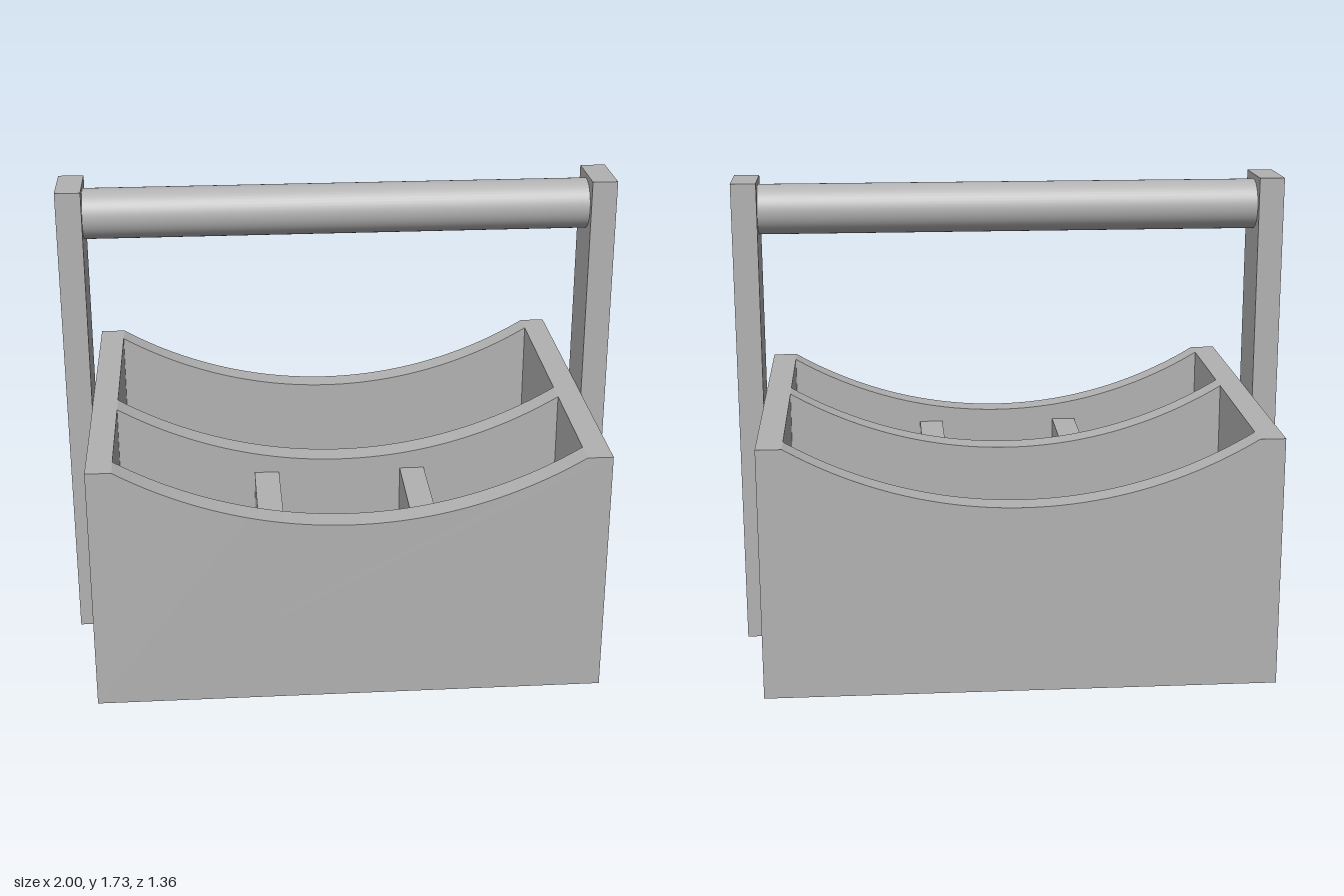
import * as THREE from 'three';

const U = 1 / 11; // board thickness, used as the module of the design

export function createModel() {
  const group = new THREE.Group();
  group.name = 'toolCaddy';
  const grey = new THREE.MeshStandardMaterial({ color: 0xb2b2b2 });
  grey.name = 'plain grey';

  const add = (name, geometry, x, y, z) => {
    const mesh = new THREE.Mesh(geometry, grey);
    mesh.name = name;
    mesh.position.set(x * U, y * U, z * U);
    group.add(mesh);
    return mesh;
  };
  // Box given by its minimum and maximum corners, in board units
  const board = (name, [x0, y0, z0], [x1, y1, z1]) =>
    add(name, new THREE.BoxGeometry((x1 - x0) * U, (y1 - y0) * U, (z1 - z0) * U),
      (x0 + x1) / 2, (y0 + y1) / 2, (z0 + z1) / 2);

  // Long board with a scooped top edge, one unit thick
  const scooped = (name, halfWidth, bottom, z) => {
    const chord = 9, top = 10, sag = 2.5;
    const radius = (chord * chord + sag * sag) / (2 * sag);
    const centreY = top - sag + radius;
    const start = Math.atan2(top - centreY, chord);
    const shape = new THREE.Shape();
    shape.moveTo(-halfWidth * U, bottom * U);
    shape.lineTo(halfWidth * U, bottom * U);
    shape.lineTo(halfWidth * U, top * U);
    if (halfWidth > chord) shape.lineTo(chord * U, top * U);
    shape.absarc(0, centreY * U, radius * U, start, -Math.PI - start, true);
    if (halfWidth > chord) shape.lineTo(-halfWidth * U, top * U);
    shape.closePath();
    const geometry = new THREE.ExtrudeGeometry(shape, { depth: U, bevelEnabled: false, curveSegments: 48 });
    add(name, geometry, 0, 0, z);
  };

  // Tray: floor, scooped long walls and lengthwise divider
  board('floor', [-9, 0, -6.5], [9, 1, 6.5]);
  scooped('frontWall', 10, 0, 6.5);
  scooped('backWall', 10, 0, -7.5);
  scooped('middleDivider', 9, 1, 0.5);

  // End walls, posts and small cross dividers, mirrored left and right
  for (const [side, s] of [['left', 1], ['right', -1]]) {
    const mirrored = (name, a, b, y0, y1, z0, z1) =>
      board(side + name, [Math.min(a * s, b * s), y0, z0], [Math.max(a * s, b * s), y1, z1]);
    mirrored('EndWall', 9, 10, 0, 10, -6.5, 6.5);
    mirrored('Post', 10, 11, 0, 19, -1.25, 1.25);
    mirrored('CrossDivider', 2.5, 3.5, 1, 7, 1.5, 6.5);
  }

  // Round carrying handle between the posts
  const handle = add('handle', new THREE.CylinderGeometry(U, U, 20 * U, 48), 0, 17.8, 0);
  handle.rotation.z = Math.PI / 2;

  return group;
}
